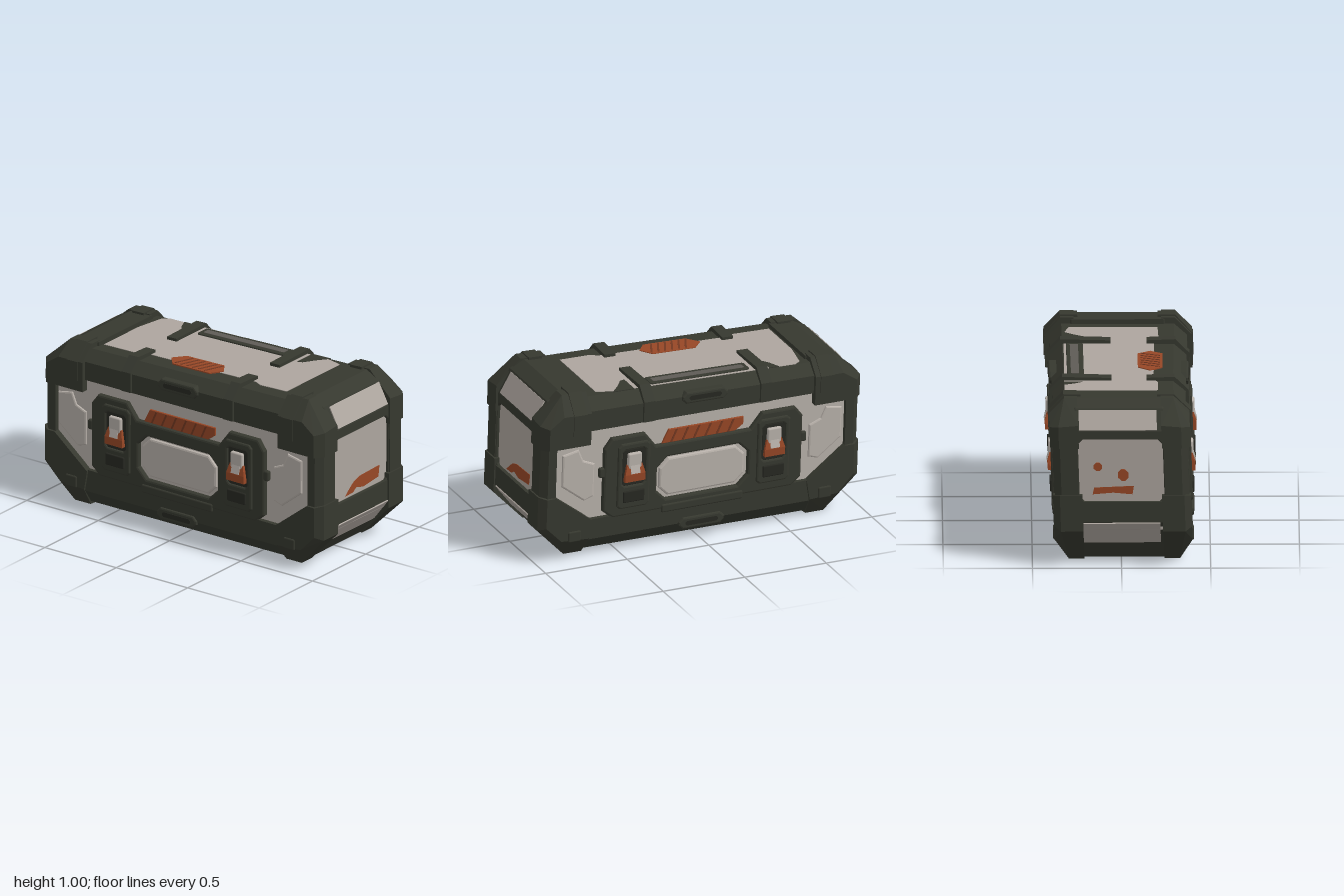
import * as THREE from 'three';
import { ConvexGeometry } from 'three/addons/geometries/ConvexGeometry.js';
import { RoundedBoxGeometry } from 'three/addons/geometries/RoundedBoxGeometry.js';

const flat = (name, color) => {
  const m = new THREE.MeshStandardMaterial({ color });
  m.name = name;
  return m;
};
const dark = flat('dark olive', 0x36382f);
const black = flat('recess dark', 0x272822);
const beige = flat('worn beige', 0xada59e);
const light = flat('light beige', 0xb8b1aa);
const grey = flat('slot grey', 0x5f5b56);
const orange = flat('rust orange', 0x974726);
const rust = flat('deep rust', 0x733821);

// Slight lean of the battered crate: lid rises to its left end, top sits back
function warp(geo) {
  const p = geo.attributes.position;
  for (let i = 0; i < p.count; i++) {
    const x = p.getX(i), y = p.getY(i), z = p.getZ(i);
    p.setXYZ(i, x + 0.02 * (0.5 - y), y + 0.008 * (1 - y) + x * (0.008 - 0.071 * y + 0.092 * y * y),
      z * (1 + 0.03 * x) - 0.033 * (y - 0.5));
  }
  return geo;
}

// Polygon in x,y extruded from z0 to z1, with a bevel kept inside the outline
function prism(points, z0, z1, bevel = 0.012, hole) {
  const shape = new THREE.Shape(points.map(([x, y]) => new THREE.Vector2(x, y)));
  if (hole) shape.holes.push(new THREE.Path(hole.map(([x, y]) => new THREE.Vector2(x, y))));
  const geo = new THREE.ExtrudeGeometry(shape, {
    depth: z1 - z0 - 2 * bevel, bevelEnabled: bevel > 0, bevelThickness: bevel,
    bevelSize: bevel, bevelOffset: -bevel, bevelSegments: 2,
  });
  return geo.translate(0, 0, z0 + bevel);
}
const hull = (points) => new ConvexGeometry(points.map((p) => new THREE.Vector3(...p)));
const box = (w, h, d, x, y, z, r = 0.01) =>
  new RoundedBoxGeometry(w, h, d, 2, Math.min(r, w / 3, h / 3, d / 3)).translate(x, y, z);
// Rectangle with cut corners
const cut = (x0, x1, y0, y1, c) => [[x0 + c, y0], [x1 - c, y0], [x1, y0 + c], [x1, y1 - c],
  [x1 - c, y1], [x0 + c, y1], [x0, y1 - c], [x0, y0 + c]];
const mirrorX = (half) => [...half, ...half.map(([x, y]) => [-x, y]).reverse()];

export function createModel() {
  const group = new THREE.Group();
  const add = (name, geo, mat) => {
    const mesh = new THREE.Mesh(warp(geo), mat);
    mesh.name = name;
    group.add(mesh);
  };

  // Inner body (lighter long sides), lid and base
  add('body', box(1.91, 0.6, 0.72, 0, 0.5, 0), [beige, beige, beige, beige, light, light]);
  const along = (pts, half) => prism(pts, -half, half, 0.01).rotateY(Math.PI / 2);
  add('lid', along(mirrorX([[0.38, 0.765], [0.38, 0.88], [0.31, 0.942]]), 0.71), dark);
  add('base', along(mirrorX([[0.32, 0.018], [0.387, 0.1], [0.387, 0.225]]), 0.73), dark);
  add('bottomPlate', box(0.24, 0.012, 0.17, 0, 0.016, 0), beige);

  for (const s of [-1, 1]) {
    // End crossbars with a light panel on each sloping face
    const bars = [
      ['lidEndBar', [[0.68, 0.75], [0.68, 0.968], [0.82, 0.968], [0.9, 0.925], [0.972, 0.8], [0.972, 0.75]],
        [0.905, 0.9163], [0.969, 0.8052], 0.225],
      ['baseEndBar', [[0.68, 0.37], [0.68, 0.01], [0.8, 0.01], [0.977, 0.25], [0.977, 0.37]],
        [0.879, 0.117], [0.976, 0.249], 0.225],
    ];
    for (const [name, pts, a, b, w] of bars) {
      add(name, prism(pts.map(([x, y]) => [s * x, y]), -0.26, 0.26, 0.008), dark);
      const up = name === 'lidEndBar' ? 0.004 : -0.005;
      const plate = [];
      for (const k of [-0.6, 0.9]) for (const z of [-w - 0.01, w - 0.01]) for (const [x, y] of [a, b])
        plate.push([s * (x + 0.006 * k), y + up * k, z]);
      add('endSlopePanel', hull(plate), beige);
    }
    // Raised lip around the end panel and its paint patches
    add('endPanelLip', prism(cut(-0.265, 0.265, 0.35, 0.765, 0.03), 0.94, 0.972, 0.006,
      cut(-0.245, 0.245, 0.368, 0.748, 0.03)).rotateY(s * Math.PI / 2), dark);
    const patches = s > 0
      ? [[[-0.13, 0.385], [-0.06, 0.388], [-0.03, 0.41], [0.03, 0.392], [0.17, 0.407], [0.18, 0.472],
        [0, 0.466], [-0.05, 0.45], [-0.09, 0.42]]]
      : [[[-0.17, 0.41], [-0.05, 0.42], [0.06, 0.41], [0.07, 0.46], [-0.04, 0.455], [-0.16, 0.45]],
        cut(-0.16, -0.11, 0.55, 0.6, 0.015), cut(-0.02, 0.04, 0.49, 0.56, 0.02)];
    for (const p of patches) add('endPaintPatch', prism(p, 0.952, 0.958, 0).rotateY(s * Math.PI / 2), orange);

    for (const f of [-1, 1]) {
      const place = (pts) => hull(pts.map(([x, y, z]) => [s * x, y, f * z]));
      const at = (z, pts) => pts.map(([x, y]) => [x, y, z]);
      // Chamfered corner guards
      add('lidCorner', place([
        ...at(0.24, [[0.69, 0.695], [0.69, 0.974], [0.84, 0.974], [0.985, 0.84], [0.985, 0.695]]),
        ...at(0.315, [[0.69, 0.974], [0.84, 0.974]]),
        ...at(0.355, [[0.985, 0.83], [0.985, 0.695]]),
        ...at(0.405, [[0.69, 0.695], [0.69, 0.88], [0.86, 0.88], [0.945, 0.82], [0.945, 0.695]]),
      ]), dark);
      add('baseCorner', place([
        ...at(0.23, [[0.68, 0], [0.66, 0.22], [0.89, 0.41], [0.985, 0.41], [0.985, 0.2], [0.8, 0]]),
        ...at(0.32, [[0.69, 0], [0.8, 0]]),
        ...at(0.36, [[0.985, 0.2], [0.985, 0.41]]),
        ...at(0.398, [[0.68, 0.11], [0.66, 0.22], [0.89, 0.4], [0.945, 0.4], [0.945, 0.22], [0.85, 0.12]]),
      ]), dark);
      const post = [[0.89, 0.25], [0.976, 0.25], [0.976, 0.35], [0.94, 0.388], [0.89, 0.388]];
      add('cornerPost', place([0.36, 0.74].flatMap((y) => post.map(([x, z]) => [x, y, z]))), dark);
      // Ribs standing on the guards
      add('lidCornerRib', place([0.72, 0.8].flatMap((x) => [[x, 0.76, 0.411], [x, 0.88, 0.411],
        [x, 0.982, 0.318], [x, 0.982, 0.22], [x, 0.9, 0.22], [x, 0.76, 0.37]])), dark);
      add('baseCornerFoot', box(0.08, 0.07, 0.03, s * 0.77, 0.14, f * 0.39), dark);
    }
  }

  // Straps wrapped over the long lid edges
  for (const x of [-0.39, 0.33]) for (const f of [-1, 1]) {
    const reach = f > 0 ? 0.16 : 0.04;
    const pts = [];
    for (const dx of [-0.033, 0.033]) for (const [y, z] of [[0.77, 0.396], [0.89, 0.396],
      [0.968, 0.32], [0.962, reach], [0.935, reach], [0.77, 0.36]]) pts.push([x + dx, y, f * z]);
    add('lidStrap', hull(pts), dark);
  }

  // Top panel, slot and painted badge
  const lay = (pts, y0, y1, bevel = 0) => prism(pts.map(([x, z]) => [x, -z]), y0, y1, bevel).rotateX(-Math.PI / 2);
  add('topPanel', lay([[-0.67, -0.1], [-0.64, -0.28], [-0.6, -0.31], [0.5, -0.3], [0.61, -0.27],
    [0.61, 0.22], [0.43, 0.225], [0.38, 0.2], [-0.4, 0.2], [-0.45, 0.225], [-0.67, 0.225]], 0.937, 0.945), beige);
  add('topScuff', lay([[0.39, -0.31], [0.52, -0.31], [0.46, -0.24], [0.42, -0.18], [0.39, -0.17]], 0.942, 0.947), dark);
  add('topScuff', lay([[-0.44, -0.31], [-0.5, -0.31], [-0.47, -0.24], [-0.44, -0.2]], 0.942, 0.947), dark);
  add('slotRim', lay(cut(-0.33, 0.28, -0.29, -0.195, 0.01), 0.94, 0.953, 0.004), dark);
  add('slotFloor', lay(cut(-0.305, 0.255, -0.268, -0.222, 0.005), 0.95, 0.955), grey);
  add('topBadge', lay([[-0.23, 0.18], [-0.17, 0.11], [0.09, 0.11], [0.14, 0.18], [0.09, 0.25], [-0.17, 0.25]], 0.941, 0.949), orange);
  for (let i = 0; i < 6; i++) {
    const x = -0.17 + i * 0.042;
    add('badgeStripe', lay([[x, 0.235], [x + 0.012, 0.235], [x + 0.057, 0.125], [x + 0.045, 0.125]], 0.946, 0.951), rust);
  }

  // Long sides: one layout, turned round for the back
  for (const f of [1, -1]) {
    const side = (name, geo, mat) => {
      geo.translate(0, 0, -0.012);
      if (f < 0) geo.rotateY(Math.PI);
      add(name, geo.translate(f > 0 ? -0.028 : -0.015, 0, 0), mat);
    };
    side('latchPanel', prism(mirrorX([[0.55, 0.21], [0.61, 0.26], [0.61, 0.64], [0.565, 0.7], [0.36, 0.7], [0.29, 0.61]]),
      0.355, 0.402, 0.012, cut(-0.28, 0.28, 0.27, 0.53, 0.06)), dark);
    side('centrePlate', prism(cut(-0.262, 0.262, 0.285, 0.515, 0.055), 0.36, 0.388), light);
    // Painted hazard band with thin slanted grooves
    side('hazardBand', prism([[-0.25, 0.61], [0.2, 0.61], [0.25, 0.645], [0.25, 0.69], [-0.21, 0.69]], 0.368, 0.384, 0.003), orange);
    for (let i = 0; i < 6; i++) {
      const x = -0.2 + i * 0.07;
      side('hazardGroove', prism([[x, 0.613], [x + 0.012, 0.613], [x + 0.045, 0.687], [x + 0.033, 0.687]], 0.38, 0.387, 0), rust);
    }
    // Lid and base grips
    for (const [name, y, z] of [['lidGrip', 0.872, 0.39], ['baseGrip', 0.098, 0.395]]) {
      side(name, prism(cut(-0.14, 0.14, y - 0.035, y + 0.035, 0.025), z - 0.04, z + 0.016, 0.01), dark);
      side(name + 'Slot', prism(cut(-0.1, 0.1, y - 0.014, y + 0.014, 0.01), z + 0.011, z + 0.018, 0), black);
    }
    side('baseLedge', box(0.5, 0.05, 0.04, 0, 0.215, 0.39), dark);

    for (const s of [-1, 1]) {
      // Latch with frame, clasp and pull tab
      const x = s * 0.43;
      side('latchFrame', prism(cut(x - 0.1, x + 0.1, 0.26, 0.66, 0.02), 0.38, 0.414, 0.01,
        cut(x - 0.07, x + 0.07, 0.4, 0.62, 0.015)), dark);
      side('latchRecess', box(0.14, 0.22, 0.01, x, 0.51, 0.4), black);
      side('latchFoot', box(0.13, 0.07, 0.02, x, 0.335, 0.413), black);
      side('latchClasp', box(0.085, 0.11, 0.03, x, 0.545, 0.41), light);
      side('latchTab', hull([-0.062, 0.062].flatMap((d) => [[x + d, 0.43, 0.4], [x + d, 0.43, 0.432],
        [x + d, 0.475, 0.434], [x + d * 0.75, 0.53, 0.42], [x + d * 0.75, 0.53, 0.4]])), orange);
      side('latchTabInset', hull([-0.028, 0.028].flatMap((d) => [[x + d, 0.48, 0.425], [x + d, 0.48, 0.437],
        [x + d, 0.535, 0.423], [x + d, 0.535, 0.411]])), light);
      // Raised plate and small lug in the light field
      side('sidePlate', prism([[0.66, 0.36], [0.72, 0.34], [0.86, 0.45], [0.86, 0.64], [0.76, 0.66], [0.73, 0.59],
        [0.66, 0.56]].map(([a, b]) => [s * a, b]), 0.355, 0.382, 0.01), light);
      side('sideLug', box(0.035, 0.06, 0.03, s * 0.62, 0.5, 0.385), dark);
    }
  }
  return group;
}
